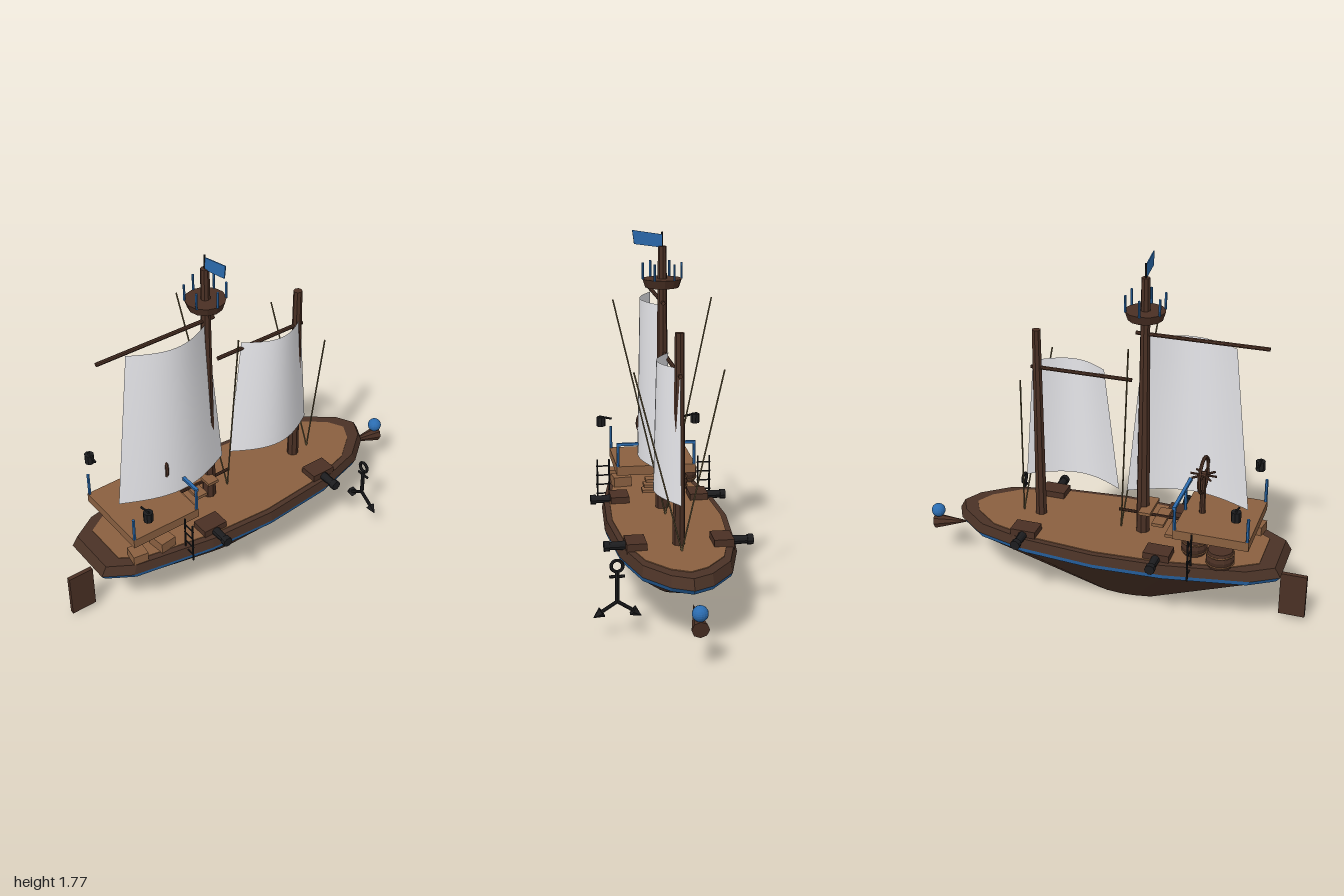
import * as THREE from 'three';

const mat = (color, extra = {}) => new THREE.MeshStandardMaterial({ color, flatShading: true, ...extra });
const HULL = mat(0x4a3226), WOOD = mat(0x4a3024), TAN = mat(0x8a6040), BLUE = mat(0x2b6cb0);
const IRON = mat(0x1c1c1e), ROPE = mat(0x6e6040);
const SAIL = new THREE.MeshStandardMaterial({ color: 0xe8e8ec, side: THREE.DoubleSide });
const V = (x, y, z) => new THREE.Vector3(x, y, z);

export function createModel() {
  const model = new THREE.Group();
  const ship = new THREE.Group();
  ship.name = 'ship';
  ship.position.x = -0.037;
  model.add(ship);

  const add = (name, geo, material, x = 0, y = 0, z = 0, parent = ship) => {
    const m = new THREE.Mesh(geo, material);
    m.name = name;
    m.position.set(x, y, z);
    parent.add(m);
    return m;
  };
  const box = (name, w, h, d, material, x, y, z) => add(name, new THREE.BoxGeometry(w, h, d), material, x, y, z);
  // Tapered round bar from point a to point b
  const rod = (name, a, b, ra, rb, material, sides = 8) => {
    const mid = a.clone().add(b).multiplyScalar(0.5);
    const m = add(name, new THREE.CylinderGeometry(rb, ra, a.distanceTo(b), sides), material, mid.x, mid.y, mid.z);
    m.quaternion.setFromUnitVectors(V(0, 1, 0), b.clone().sub(a).normalize());
    return m;
  };

  // Hull outline, bow at -z: [half width, z]
  const half = [[0, -0.83], [0.095, -0.78], [0.206, -0.64], [0.278, -0.38], [0.31, 0],
    [0.29, 0.35], [0.215, 0.76], [0.135, 0.89]];
  const outline = [...half, ...half.slice(1).reverse().map(([x, z]) => [-x, z])];
  const ring = (y, s, dz = 0) => outline.map(([x, z]) => V(x * s, y, z * s + dz));
  const loft = (name, rings, material, capBottom, capTop) => {
    const p = [], n = outline.length;
    const tri = (...vs) => vs.forEach(v => p.push(v.x, v.y, v.z));
    for (let i = 0; i < n; i++) {
      const j = (i + 1) % n;
      for (let k = 0; k + 1 < rings.length; k++) {
        const lo = rings[k], up = rings[k + 1];
        tri(lo[i], up[i], lo[j]);
        tri(up[i], up[j], lo[j]);
      }
      const first = rings[0], last = rings[rings.length - 1];
      if (capBottom) tri(V(0, first[0].y, 0.07), first[i], first[j]);
      if (capTop) tri(V(0, last[0].y, 0.03), last[j], last[i]);
    }
    const g = new THREE.BufferGeometry();
    g.setAttribute('position', new THREE.Float32BufferAttribute(p, 3));
    g.computeVertexNormals();
    add(name, g, material);
  };
  loft('hull', [ring(0, 0.2, 0.07), ring(0.285, 0.965, 0.003)], HULL, true, false);
  loft('blueBand', [ring(0.285, 0.975, 0.002), ring(0.31, 1)], BLUE, false, false);
  loft('bulwark', [ring(0.31, 1), ring(0.358, 0.968)], HULL, false, true);
  loft('deck', [ring(0.34, 0.88), ring(0.362, 0.88)], TAN, false, true);
  box('rudder', 0.022, 0.23, 0.13, WOOD, 0, 0.139, 0.935);

  // Masts, yards and boom
  rod('mainMast', V(0, 0.34, 0.164), V(0, 1.687, 0.164), 0.035, 0.021, WOOD);
  rod('foreMast', V(0, 0.34, -0.378), V(0, 1.365, -0.378), 0.03, 0.022, WOOD);
  rod('mainYard', V(0, 1.414, 0.75), V(0, 1.414, 0.12), 0.01, 0.01, WOOD);
  rod('foreYard', V(0, 1.17, 0.1), V(0, 1.17, -0.41), 0.01, 0.01, WOOD);
  rod('boom', V(0, 0.458, 0.445), V(0, 0.458, 0.04), 0.008, 0.008, WOOD);

  // Sails bulging to the left side
  const sail = (name, yTop, yBot, top, bot) => {
    const g = new THREE.PlaneGeometry(1, 1, 16, 8), p = g.attributes.position;
    for (let i = 0; i < p.count; i++) {
      const u = p.getX(i) + 0.5, v = 0.5 - p.getY(i);
      const a = THREE.MathUtils.lerp(top[0], bot[0], v), b = THREE.MathUtils.lerp(top[1], bot[1], v);
      p.setXYZ(i, (0.082 + 0.013 * v) * Math.sin(Math.PI * u),
        THREE.MathUtils.lerp(yTop, yBot, v), THREE.MathUtils.lerp(a, b, u));
    }
    g.computeVertexNormals();
    add(name, g, SAIL);
  };
  sail('mainSail', 1.397, 0.571, [0.6, 0.16], [0.69, 0.08]);
  sail('foreSail', 1.204, 0.571, [-0.038, -0.4], [0.038, -0.45]);

  // Lookout platform with six posts, and the flag
  add('lookout', new THREE.CylinderGeometry(0.097, 0.083, 0.042, 12), WOOD, 0, 1.509, 0.164);
  for (let i = 0; i < 6; i++) {
    const a = i * Math.PI / 3;
    add('lookoutPost', new THREE.CylinderGeometry(0.006, 0.006, 0.08, 6), BLUE,
      0.095 * Math.cos(a), 1.568, 0.164 + 0.095 * Math.sin(a));
  }
  rod('flagPole', V(0, 1.68, 0.164), V(0, 1.755, 0.164), 0.005, 0.005, IRON, 6);
  const flag = new THREE.Shape([[0, 1.68], [0.138, 1.70], [0.147, 1.767], [0, 1.743]].map(q => new THREE.Vector2(...q)));
  add('flag', new THREE.ExtrudeGeometry(flag, { depth: 0.005, bevelEnabled: false }), BLUE, 0, 0, 0.16).rotation.y = 0.04;

  // Raised stern deck with posts and rails
  box('sternDeck', 0.415, 0.048, 0.37, TAN, 0, 0.494, 0.558);
  for (const z of [0.38, 0.735])
    for (const x of [-0.2, 0, 0.2])
      if (x || z < 0.5) rod('railPost', V(x, 0.515, z), V(x, 0.64, z), 0.008, 0.008, BLUE, 6);
  box('rail', 0.415, 0.014, 0.016, BLUE, 0, 0.637, 0.378);

  // Steering wheel
  rod('wheelStand', V(0, 0.515, 0.465), V(0, 0.72, 0.465), 0.016, 0.012, WOOD);
  add('wheelRim', new THREE.TorusGeometry(0.088, 0.009, 6, 20), WOOD, 0, 0.725, 0.465);
  add('wheelHub', new THREE.CylinderGeometry(0.018, 0.018, 0.03, 8), WOOD, 0, 0.725, 0.465).rotation.x = Math.PI / 2;
  for (let i = 0; i < 4; i++) {
    const a = i * Math.PI / 4, c = 0.065 * Math.cos(a), s = 0.065 * Math.sin(a);
    rod('wheelSpoke', V(-c, 0.725, 0.465 - s), V(c, 0.725, 0.465 + s), 0.006, 0.006, WOOD, 6);
  }

  // Steps
  for (let i = 0; i < 3; i++) box('step', 0.165, 0.016, 0.06, TAN, 0, 0.4 + 0.05 * i, 0.33 - 0.068 * i);

  // Barrels with hoops
  for (const [x, z, r] of [[-0.185, 0.605, 0.07], [-0.115, 0.46, 0.065]]) {
    const profile = [[0, 0.36], [r * 0.86, 0.36], [r, 0.402], [r * 0.86, 0.445], [0, 0.445]];
    add('barrel', new THREE.LatheGeometry(profile.map(q => new THREE.Vector2(...q)), 12), WOOD, x, 0, z);
    for (const y of [0.378, 0.428])
      add('barrelHoop', new THREE.TorusGeometry(r * 0.95, 0.004, 5, 16), TAN, x, y, z).rotation.x = Math.PI / 2;
  }

  // Crates
  box('crate', 0.095, 0.055, 0.085, TAN, 0.165, 0.386, 0.56).rotation.y = 0.12;
  box('crate', 0.08, 0.05, 0.075, TAN, 0.17, 0.382, 0.705).rotation.y = -0.15;

  for (const s of [-1, 1]) {
    // Ropes spreading upwards
    rod('mainShroud', V(0, 0.36, 0.05), V(s * 0.243, 1.433, 0.16), 0.004, 0.004, ROPE, 5);
    rod('foreShroud', V(0, 0.36, -0.472), V(s * 0.208, 1.19, -0.38), 0.004, 0.004, ROPE, 5);

    // Guns on carriages
    for (const z of [-0.38, 0.305]) {
      box('gunCarriage', 0.095, 0.055, 0.13, WOOD, s * 0.205, 0.367, z);
      rod('gunBarrel', V(s * 0.18, 0.368, z), V(s * 0.345, 0.368, z), 0.026, 0.018, IRON, 10);
      rod('gunMuzzle', V(s * 0.325, 0.368, z), V(s * 0.353, 0.368, z), 0.025, 0.025, IRON, 10);
    }

    // Side ladders
    for (const x of [0.238, 0.3]) rod('ladderRail', V(s * x, 0.31, 0.475), V(s * x, 0.53, 0.475), 0.005, 0.005, IRON, 6);
    for (let i = 0; i < 4; i++)
      rod('ladderRung', V(s * 0.232, 0.345 + i * 0.05, 0.475), V(s * 0.307, 0.345 + i * 0.05, 0.475), 0.004, 0.004, IRON, 6);

    // Lanterns on short arms
    add('lantern', new THREE.CylinderGeometry(0.024, 0.024, 0.05, 8), IRON, s * 0.258, 0.682, 0.688);
    rod('lanternArm', V(s * 0.2, 0.695, 0.688), V(s * 0.268, 0.71, 0.688), 0.006, 0.006, IRON, 6);
  }

  // Anchor hanging by the bow
  const ax = 0.315, az = -0.6;
  add('anchorRing', new THREE.TorusGeometry(0.027, 0.008, 6, 14), IRON, ax, 0.355, az);
  rod('anchorStem', V(ax, 0.18, az), V(ax, 0.33, az), 0.01, 0.01, IRON);
  rod('anchorStock', V(ax - 0.035, 0.305, az), V(ax + 0.035, 0.305, az), 0.007, 0.007, IRON, 6);
  for (const s of [-1, 1]) {
    rod('anchorArm', V(ax, 0.185, az), V(ax + s * 0.085, 0.13, az), 0.009, 0.009, IRON);
    rod('anchorFluke', V(ax + s * 0.07, 0.138, az), V(ax + s * 0.11, 0.11, az), 0.026, 0, IRON, 6);
  }

  // Figurehead at the bow
  rod('figureheadCone', V(0, 0.195, -0.98), V(0, 0.229, -0.785), 0.04, 0, WOOD);
  add('figureheadBall', new THREE.SphereGeometry(0.036, 16, 12), BLUE, 0, 0.264, -0.964);

  return model;
}
